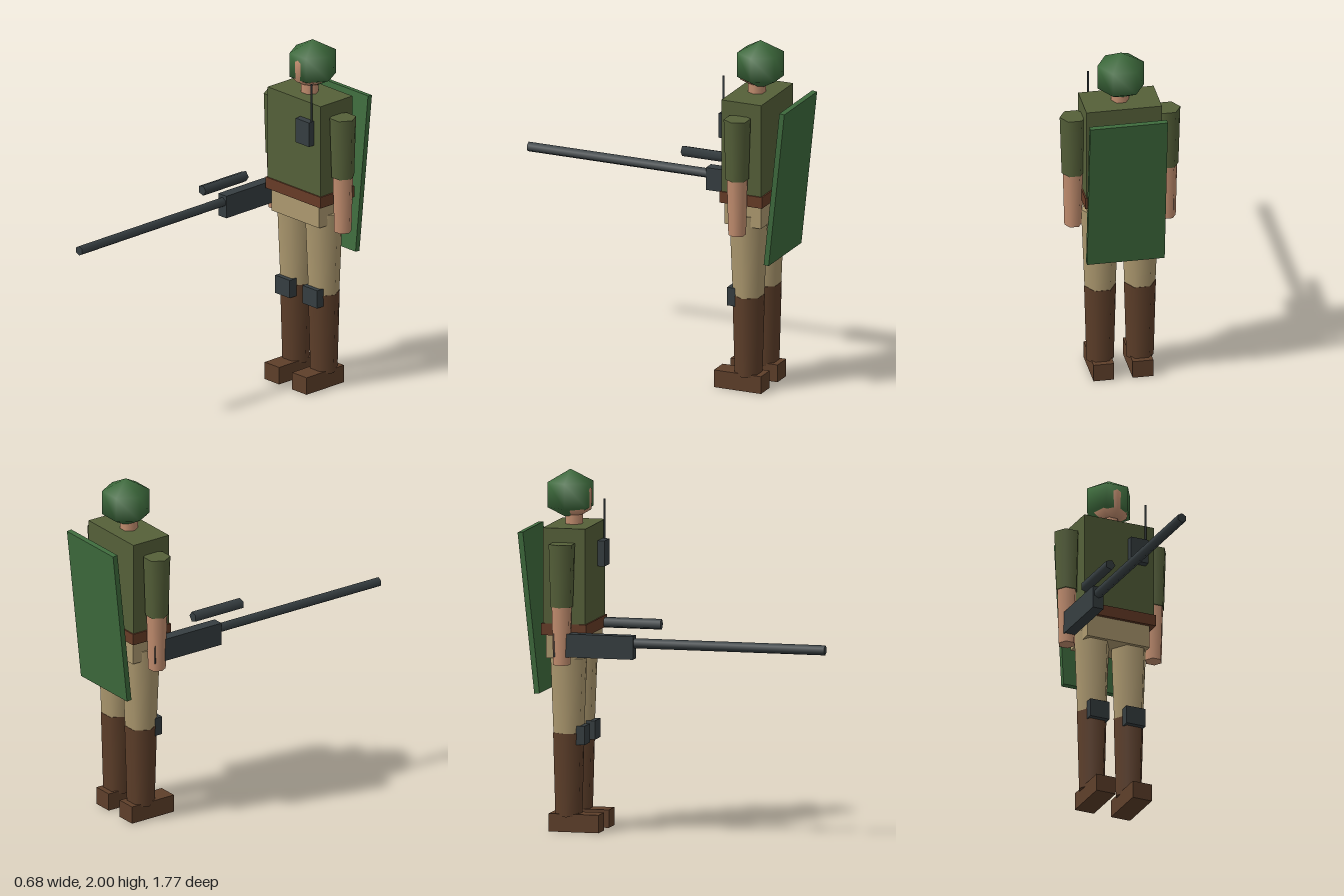
import * as THREE from 'three';

const mat = (name, color) => {
  const m = new THREE.MeshStandardMaterial({ color });
  m.name = name;
  return m;
};

export function createModel() {
  const root = new THREE.Group();
  root.name = 'soldier';

  const olive = mat('olive cloth', 0x556039);
  const green = mat('field green', 0x3e6b3d);
  const skin = mat('skin', 0xc48f70);
  const tan = mat('tan trousers', 0xae9a70);
  const leather = mat('belt leather', 0x673c27);
  const brown = mat('boot brown', 0x5e3f2a);
  const metal = mat('dark metal', 0x363e41);

  const Z = -0.62; // depth of the body's centre line

  const add = (name, geometry, material, x, y, z) => {
    const mesh = new THREE.Mesh(geometry, material);
    mesh.name = name;
    mesh.position.set(x, y, z);
    root.add(mesh);
    return mesh;
  };
  // Box given by its limits on each axis
  const box = (name, material, x0, x1, y0, y1, z0, z1) =>
    add(name, new THREE.BoxGeometry(x1 - x0, y1 - y0, z1 - z0), material,
      (x0 + x1) / 2, (y0 + y1) / 2, (z0 + z1) / 2);
  // Upright six-sided limb with corners on the x axis
  const limb = (name, material, rTop, rBottom, x, y0, y1) =>
    add(name, new THREE.CylinderGeometry(rTop, rBottom, y1 - y0, 6).rotateY(Math.PI / 2),
      material, x, (y0 + y1) / 2, Z);
  // Rod running along z
  const rod = (name, r, sides, x, y, z0, z1, turn) =>
    add(name, new THREE.CylinderGeometry(r, r, z1 - z0, sides).rotateY(turn).rotateX(Math.PI / 2),
      metal, x, y, (z0 + z1) / 2);

  // Trunk
  box('torso', olive, -0.212, 0.212, 1.12, 1.697, -0.742, -0.5);
  box('belt', leather, -0.22, 0.22, 1.1, 1.165, -0.75, -0.492);
  box('pelvis', tan, -0.19, 0.19, 0.97, 1.11, -0.73, -0.51);

  // Head and helmet
  limb('neck', skin, 0.05, 0.05, 0, 1.68, 1.8);
  const headProfile = [[0, 1.75], [0.05, 1.75], [0.1, 1.78], [0.102, 1.89], [0.08, 1.92], [0, 1.93]]
    .map(([r, y]) => new THREE.Vector2(r, y));
  add('head', new THREE.LatheGeometry(headProfile, 8), skin, 0, 0, Z);
  add('helmet', new THREE.SphereGeometry(0.14, 6, 3).scale(1.08, 1, 1.08), green, 0, 1.86, -0.641);

  // Arms and legs
  for (const [side, s] of [['left', 1], ['right', -1]]) {
    limb(side + 'Sleeve', olive, 0.075, 0.064, s * 0.264, 1.268, 1.618);
    limb(side + 'Forearm', skin, 0.058, 0.049, s * 0.264, 0.945, 1.29);
    limb(side + 'Thigh', tan, 0.107, 0.087, s * 0.112, 0.53, 1.03);
    limb(side + 'BootShaft', brown, 0.09, 0.077, s * 0.112, 0.085, 0.55);
    const x = s * 0.11;
    box(side + 'Foot', brown, x - 0.058, x + 0.058, 0, 0.1, -0.72, -0.435);
    box(side + 'KneePad', metal, x - 0.058, x + 0.058, 0.488, 0.593, -0.567, -0.515);
  }

  // Radio with antenna
  box('radio', metal, 0.053, 0.16, 1.455, 1.597, -0.503, -0.46);
  add('antenna', new THREE.CylinderGeometry(0.006, 0.006, 0.24, 6), metal, 0.153, 1.698, -0.487);

  // Rifle
  box('rifleBody', metal, -0.297, -0.233, 0.992, 1.122, -0.657, -0.205);
  rod('rifleBarrel', 0.028, 6, -0.264, 1.08, -0.22, 0.885, 0);
  rod('rifleScope', 0.031, 5, -0.264, 1.19, -0.376, -0.05, Math.PI / 2);

  // Tilted back shield
  const shield = add('backShield', new THREE.BoxGeometry(0.436, 0.9, 0.03), green, 0, 1.22, -0.822);
  shield.rotation.x = -0.106;

  return root;
}
